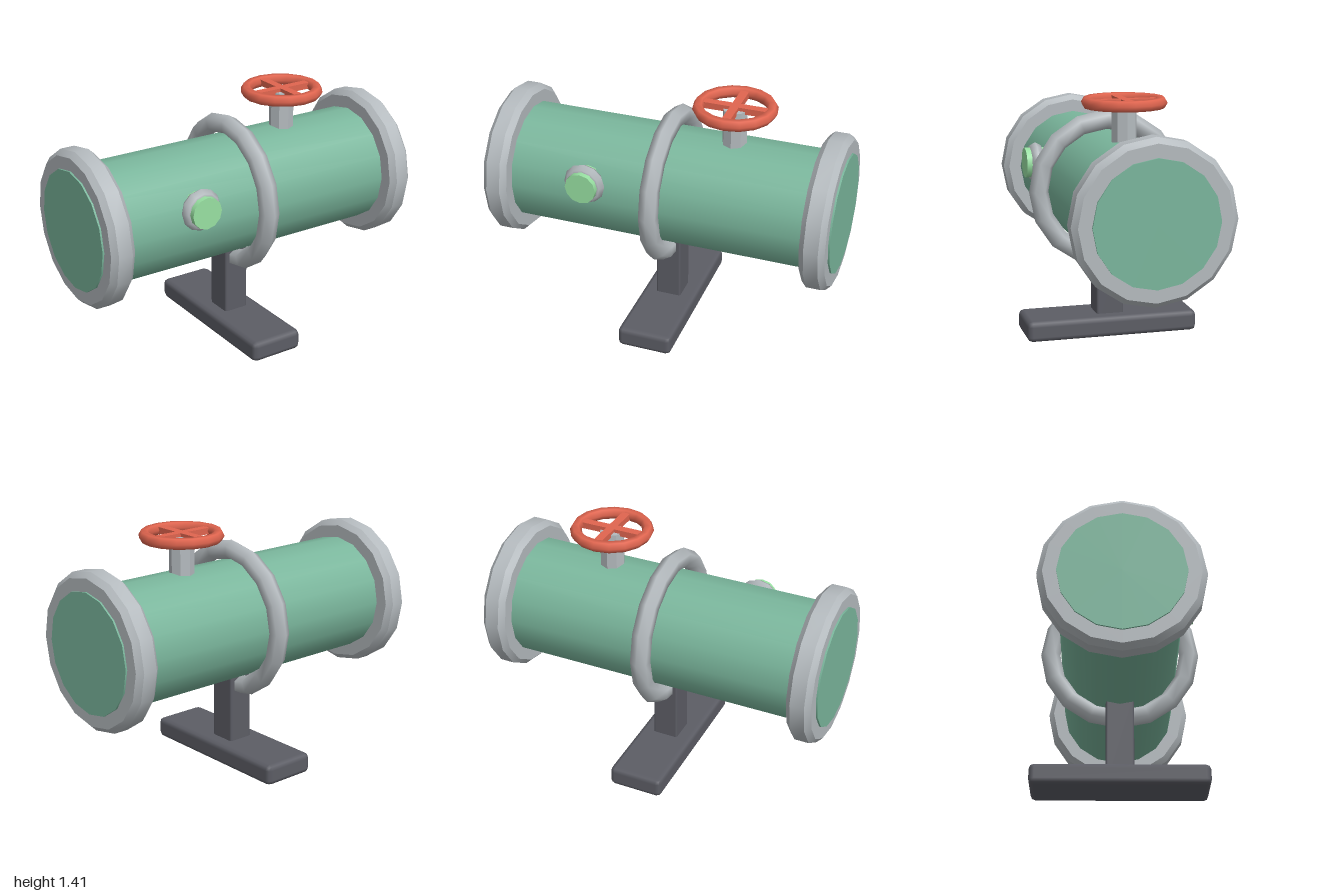
import * as THREE from 'three';
import { toCreasedNormals } from 'three/addons/utils/BufferGeometryUtils.js';
import { RoundedBoxGeometry } from 'three/addons/geometries/RoundedBoxGeometry.js';

const paint = (color) => new THREE.MeshStandardMaterial({ color });

export function createModel() {
  const model = new THREE.Group();
  const green = paint(0x7ab69c);
  const metal = paint(0xb4babe);
  const dark = paint(0x5c5d65);
  const red = paint(0xe0654f);
  const glow = paint(0x98e0a2);

  const add = (name, geometry, material, x = 0, y = 0, z = 0, parent = model) => {
    const mesh = new THREE.Mesh(geometry, material);
    mesh.name = name;
    mesh.position.set(x, y, z);
    parent.add(mesh);
    return mesh;
  };

  const axisY = 0.843; // height of the pipe's centre line

  // Main pipe
  add('pipe', new THREE.CylinderGeometry(0.338, 0.338, 2, 16).rotateZ(-Math.PI / 2), green, 0, axisY);

  // Chamfered flange at each end
  const profile = [
    [0.33, -0.07], [0.41, -0.07], [0.44, -0.04], [0.44, 0.04], [0.41, 0.07], [0.33, 0.07],
  ].map(([r, h]) => new THREE.Vector2(r, h));
  const flange = toCreasedNormals(new THREE.LatheGeometry(profile, 16), 0.45).rotateZ(-Math.PI / 2);
  for (const side of [-1, 1]) {
    add(side > 0 ? 'leftFlange' : 'rightFlange', flange, metal, side * 0.92, axisY);
  }

  // Clamp ring around the middle
  add('clampRing', new THREE.TorusGeometry(0.4, 0.056, 6, 16).rotateY(Math.PI / 2), metal, 0, axisY);

  // Stand
  add('post', new RoundedBoxGeometry(0.15, 0.5, 0.16, 1, 0.012), dark, 0, 0.29);
  add('base', new RoundedBoxGeometry(0.32, 0.12, 1, 1, 0.03), dark, 0, 0.06);

  // Valve: stem, rim and crossed spokes
  const valve = new THREE.Group();
  valve.name = 'valve';
  valve.position.set(0.36, 1.383, 0);
  model.add(valve);
  const stem = toCreasedNormals(new THREE.CylinderGeometry(0.07, 0.07, 0.24, 8), 0.4);
  add('valveStem', stem, metal, 0, -0.122, 0, valve);
  add('wheelRim', new THREE.TorusGeometry(0.202, 0.033, 6, 16).rotateX(Math.PI / 2), red, 0, 0, 0, valve);
  for (const turn of [0, Math.PI / 2]) {
    add('wheelSpoke', new THREE.BoxGeometry(0.39, 0.036, 0.048).rotateY(turn), red, 0, 0, 0, valve);
  }

  // Round indicator on the front
  add('indicatorRing', new THREE.TorusGeometry(0.082, 0.038, 6, 12), metal, -0.4, 0.943, 0.336);
  add('indicatorLens', new THREE.CylinderGeometry(0.09, 0.09, 0.12, 12).rotateX(Math.PI / 2), glow, -0.4, 0.943, 0.34);

  return model;
}
